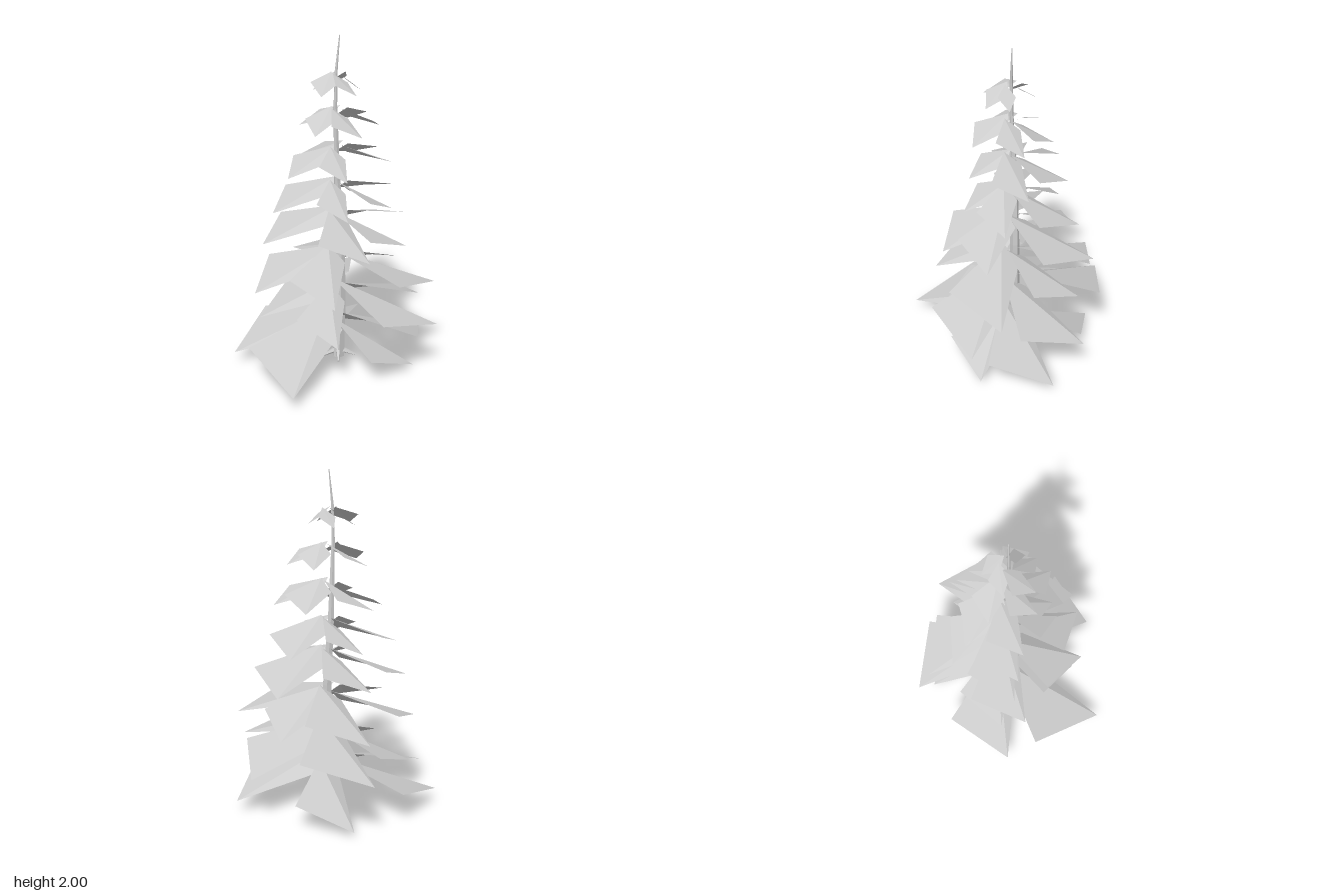
import * as THREE from 'three';

const grey = new THREE.MeshStandardMaterial({ color: 0xcccccc, side: THREE.DoubleSide, flatShading: true });
grey.name = 'pale grey';

// Bough tiers from the ground up: height on the trunk, then the
// direction in degrees (from +x towards +z), the reach and, where
// the boughs sit unevenly, the amount each is lowered
const tiers = [
  { y: 0.33, angles: [139, 198, 273, 1, 49], reaches: [0.60, 0.56, 0.45, 0.50, 0.42], lowered: [0, 0, 0.05, 0, 0.04] },
  { y: 0.56, angles: [118, 203, 265, 339, 48], reaches: [0.37, 0.42, 0.54, 0.50, 0.54], lowered: [0.06, 0.05, 0, 0.04, 0] },
  { y: 0.75, angles: [120, 186, 264, 326, 32], reaches: [0.41, 0.46, 0.47, 0.39, 0.50], lowered: [0, 0.025, 0, 0.025, 0.01] },
  { y: 0.98, angles: [94, 193, 253, 322, 46], reaches: [0.38, 0.40, 0.35, 0.45, 0.36] },
  { y: 1.16, angles: [107, 189, 251, 320, 34], reaches: [0.25, 0.35, 0.27, 0.36, 0.27] },
  { y: 1.38, angles: [107, 182, 238, 312, 10], reaches: [0.22, 0.28, 0.28, 0.28, 0.28], lowered: [0.02, 0.03, 0, 0, 0] },
  { y: 1.59, angles: [87, 153, 223, 310, 11], reaches: [0.22, 0.20, 0.21, 0.20, 0.21] },
  { y: 1.79, angles: [84, 148, 207, 277, 34], reaches: [0.15, 0.17, 0.13, 0.12, 0.11] },
];

// Trunk rings: height, centre x, centre z, radius
const trunkRings = [[0, 0.045, -0.032, 0.038], [0.3, 0.055, -0.03, 0.034], [0.75, 0.058, -0.03, 0.028],
  [1.15, 0.035, -0.03, 0.02], [1.6, 0.022, -0.014, 0.011], [1.79, 0.025, -0.012, 0.009], [2, 0.045, -0.014, 0.003]];

// Two points either side of a centre, across a bough
function edgeEnds(x, y, z, angle, width, tilt) {
  const half = new THREE.Vector3(Math.cos(angle) * width, -tilt, Math.sin(angle) * width).multiplyScalar(0.5);
  const centre = new THREE.Vector3(x, y, z);
  return [centre.clone().sub(half), centre.clone().add(half)];
}

// A flat bough hanging from the trunk: narrow inside, wide outside, with
// both edges turned by a constant twist and tilted less in higher tiers
function makeBough(y, degrees, reach, lowered) {
  const angle = THREE.MathUtils.degToRad(degrees);
  const edgeAngle = THREE.MathUtils.degToRad(degrees - 77.5);
  const cos = Math.cos(angle), sin = Math.sin(angle);
  const tilt = 0.134 - 0.043 * y;
  const sag = 0.216 - 0.08 * y;
  const top = y - lowered;
  const [innerHigh, innerLow] = edgeEnds(
    0.042 + cos * 0.03, top - tilt * 0.45, -0.02 + sin * 0.03, edgeAngle, 0.06 + 0.15 * reach, tilt * 0.9);
  const [high, low] = edgeEnds(
    0.045 + cos * reach, top - sag, -0.02 + sin * reach, edgeAngle, 0.77 * reach, tilt);

  const geometry = new THREE.BufferGeometry().setFromPoints([innerHigh, high, low, innerHigh, low, innerLow]);
  geometry.computeVertexNormals();
  const bough = new THREE.Mesh(geometry, grey);
  bough.name = 'bough';
  return bough;
}

// Six-sided trunk that follows its rings up to a thin leader
function makeTrunk() {
  const last = trunkRings.length - 1;
  const geometry = new THREE.CylinderGeometry(1, 1, 1, 6, last);
  const p = geometry.attributes.position;
  for (let i = 0; i < p.count; i++) {
    const [y, x, z, r] = trunkRings[Math.round((p.getY(i) + 0.5) * last)];
    p.setXYZ(i, x + p.getX(i) * r, y, z + p.getZ(i) * r);
  }
  geometry.computeVertexNormals();
  const trunk = new THREE.Mesh(geometry, grey);
  trunk.name = 'trunk';
  return trunk;
}

// A small root tapering from the trunk to the ground
function makeRoot(x, z) {
  const start = new THREE.Vector3(0.045, 0.05, -0.03);
  const dir = new THREE.Vector3(x, 0.012, z).sub(start);
  const root = new THREE.Mesh(new THREE.CylinderGeometry(0.006, 0.02, dir.length(), 5), grey);
  root.position.copy(start).addScaledVector(dir, 0.5);
  root.quaternion.setFromUnitVectors(new THREE.Vector3(0, 1, 0), dir.normalize());
  root.name = 'root';
  return root;
}

export function createModel() {
  const tree = new THREE.Group();
  tree.name = 'tree';
  tree.add(makeTrunk());

  const roots = new THREE.Group();
  roots.name = 'roots';
  for (const [x, z] of [[-0.05, -0.02], [0.03, 0.07], [0.15, 0], [0, -0.06]]) roots.add(makeRoot(x, z));
  tree.add(roots);

  tiers.forEach(({ y, angles, reaches, lowered = [0, 0, 0, 0, 0] }, i) => {
    const tier = new THREE.Group();
    tier.name = `boughTier${i + 1}`;
    angles.forEach((angle, j) => tier.add(makeBough(y, angle, reaches[j], lowered[j])));
    tree.add(tier);
  });
  return tree;
}
